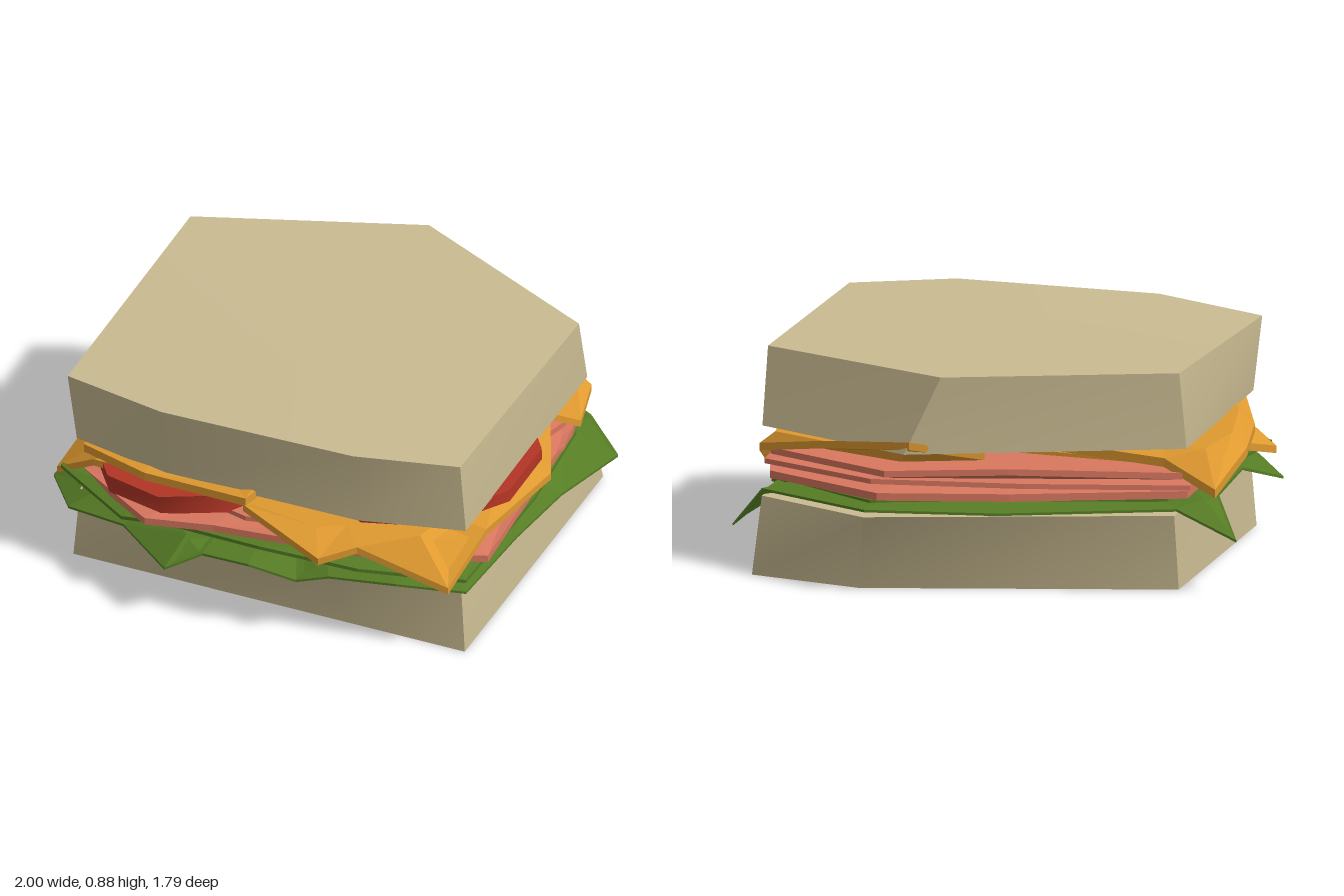
import * as THREE from 'three';
import { toCreasedNormals } from 'three/addons/utils/BufferGeometryUtils.js';

const material = (name, color, side = THREE.FrontSide) => {
  const m = new THREE.MeshStandardMaterial({ color, side });
  m.name = name;
  return m;
};

// Average of a ring of points
const centre = (ring) => [0, 1, 2].map((k) => ring.reduce((s, p) => s + p[k], 0) / ring.length);

// Closed solid through rings of equal length, capped at both ends
function loft(rings, crease) {
  const n = rings[0].length, pos = [];
  const tri = (...pts) => pts.forEach((p) => pos.push(...p));
  for (let r = 0; r < rings.length - 1; r++) {
    for (let i = 0; i < n; i++) {
      const j = (i + 1) % n, a = rings[r], b = rings[r + 1];
      tri(a[i], a[j], b[j]);
      tri(a[i], b[j], b[i]);
    }
  }
  const low = rings[0], high = rings[rings.length - 1];
  const cl = centre(low), ch = centre(high);
  for (let i = 0; i < n; i++) {
    const j = (i + 1) % n;
    tri(cl, low[j], low[i]);
    tri(ch, high[i], high[j]);
  }
  const g = new THREE.BufferGeometry();
  g.setAttribute('position', new THREE.Float32BufferAttribute(pos, 3));
  g.computeVertexNormals();
  return crease ? toCreasedNormals(g, crease) : g;
}

// Thin sheet, flat in the middle at height y, with a rim that droops or curls
function sheet(rim, y, thick, inset = 0.84) {
  const c = centre(rim);
  const flat = rim.map((p) => [c[0] + (p[0] - c[0]) * inset, y, c[2] + (p[2] - c[2]) * inset]);
  const lower = (ring) => ring.map((p) => [p[0], p[1] - thick, p[2]]);
  return loft([lower(flat), lower(rim), rim, flat]);
}

export function createModel() {
  const group = new THREE.Group();
  const bread = material('bread', 0xcabc92);
  const green = material('lettuce green', 0x567c25, THREE.DoubleSide);
  const pink = material('ham pink', 0xd9775f, THREE.DoubleSide);
  const red = material('tomato red', 0xb53626, THREE.DoubleSide);
  const orange = material('cheese orange', 0xe09a30, THREE.DoubleSide);
  const add = (name, geometry, mat) => {
    const mesh = new THREE.Mesh(geometry, mat);
    mesh.name = name;
    group.add(mesh);
    return mesh;
  };

  // Bread slices: outlines run from front left round by the right
  add('bottomBread', loft([
    [[-0.76, 0, 0.61], [-0.35, 0, 0.61], [0.4, 0, 0.61], [0.9, 0, 0.61],
      [0.9, 0, -0.71], [0.44, 0, -0.81], [-0.76, 0, -0.5]],
    [[-0.74, 0.3, 0.59], [-0.35, 0.29, 0.67], [0.4, 0.29, 0.67], [0.87, 0.3, 0.58],
      [0.88, 0.3, -0.64], [0.4, 0.305, -0.9], [-0.75, 0.3, -0.53]],
  ], 0.6), bread);
  add('topBread', loft([
    [[-0.75, 0.54, 0.6], [-0.33, 0.55, 0.7], [0.48, 0.55, 0.69], [0.9, 0.56, 0.6],
      [0.9, 0.56, -0.56], [0.24, 0.56, -0.88], [-0.8, 0.57, -0.53]],
    [[-0.78, 0.835, 0.62], [-0.33, 0.865, 0.74], [0.48, 0.875, 0.73], [0.88, 0.86, 0.61],
      [0.9, 0.86, -0.48], [0.1, 0.87, -0.85], [-0.77, 0.87, -0.53]],
  ], 0.6), bread);

  // Lettuce: a drooping leaf and a flatter one over it
  add('lowerLettuce', sheet([
    [-0.91, 0.24, 0.46], [-0.75, 0.27, 0.68], [-0.5, 0.28, 0.72], [-0.25, 0.25, 0.89],
    [-0.12, 0.31, 0.82], [0.08, 0.32, 0.83], [0.25, 0.25, 0.76], [0.38, 0.29, 0.74],
    [0.65, 0.31, 0.71], [0.91, 0.29, 0.62], [0.94, 0.3, 0.2], [0.95, 0.25, -0.2],
    [1, 0.18, -0.63], [0.88, 0.33, -0.64], [0.4, 0.33, -0.88], [-0.1, 0.32, -0.76],
    [-0.75, 0.32, -0.5], [-1, 0.22, -0.53], [-0.85, 0.33, -0.25], [-0.82, 0.33, 0.2],
  ], 0.35, 0.01), green);
  add('upperLettuce', sheet([
    [-0.84, 0.36, 0.55], [-0.5, 0.33, 0.74], [-0.3, 0.37, 0.76], [0.1, 0.38, 0.78],
    [0.5, 0.36, 0.74], [0.9, 0.33, 0.6], [0.93, 0.36, 0], [0.88, 0.34, -0.5],
    [0.4, 0.35, -0.8], [-0.7, 0.35, -0.45],
  ], 0.38, 0.015), green);

  // Ham: stacked slices, fanned upward at the back
  add('lowerHam', sheet([
    [-0.74, 0.37, 0.55], [-0.37, 0.4, 0.81], [-0.1, 0.41, 0.76], [0.5, 0.42, 0.7],
    [0.94, 0.38, 0.48], [0.91, 0.42, -0.4], [0.85, 0.4, -0.63], [0.35, 0.4, -0.88],
    [-0.15, 0.4, -0.76], [-0.8, 0.4, -0.52],
  ], 0.41, 0.03), pink);
  add('middleHam', sheet([
    [-0.7, 0.42, 0.5], [0, 0.43, 0.68], [0.85, 0.43, 0.5], [0.92, 0.41, -0.3],
    [0.88, 0.44, -0.6], [0.38, 0.45, -0.86], [-0.2, 0.44, -0.74], [-0.82, 0.43, -0.55],
  ], 0.44, 0.02), pink);
  add('upperHam', sheet([
    [-0.6, 0.46, 0.3], [0.7, 0.46, 0.3], [0.88, 0.45, -0.4], [0.86, 0.48, -0.58],
    [0.32, 0.49, -0.88], [-0.15, 0.5, -0.76], [-0.78, 0.47, -0.52],
  ], 0.47, 0.025), pink);

  // Cheese: a wide slice with hanging corners, one on top at left, one over the back
  add('lowerCheese', sheet([
    [-0.86, 0.34, 0.54], [-0.68, 0.46, 0.6], [0, 0.5, 0.66], [0.03, 0.55, 0.77],
    [0.37, 0.42, 0.82], [0.5, 0.46, 0.74], [0.86, 0.33, 0.68], [0.92, 0.48, 0.45],
    [0.95, 0.41, -0.1], [0.86, 0.5, -0.3], [-0.6, 0.48, -0.4], [-0.8, 0.48, 0],
  ], 0.5, 0.03, 0.8), orange);
  add('upperCheese', sheet([
    [-0.86, 0.5, 0.23], [-0.72, 0.52, 0.6], [-0.4, 0.56, 0.74], [0.04, 0.58, 0.77],
    [0.1, 0.55, 0.4], [0, 0.55, -0.4], [-0.7, 0.52, -0.5], [-0.92, 0.42, -0.55],
    [-0.95, 0.51, -0.2],
  ], 0.555, 0.035), orange);
  add('backCheese', sheet([
    [0.1, 0.54, -0.4], [0.86, 0.54, -0.3], [0.92, 0.43, -0.45], [0.9, 0.5, -0.6],
    [0.6, 0.56, -0.74], [0.22, 0.61, -0.88], [-0.05, 0.56, -0.76],
  ], 0.55, 0.03), orange);

  // Tomato slices, slightly tilted
  const slices = [
    ['leftTomato', 0.43, 0.08, [-0.33, 0.46, 0.33], [0.05, 0, 0.09]],
    ['rightTomato', 0.5, 0.05, [0.47, 0.53, 0.13], [0.02, 0, 0.03]],
  ];
  for (const [name, radius, height, position, tilt] of slices) {
    const slice = add(name, toCreasedNormals(new THREE.CylinderGeometry(radius, radius, height, 10), 0.7), red);
    slice.position.set(...position);
    slice.rotation.set(...tilt);
  }
  return group;
}
